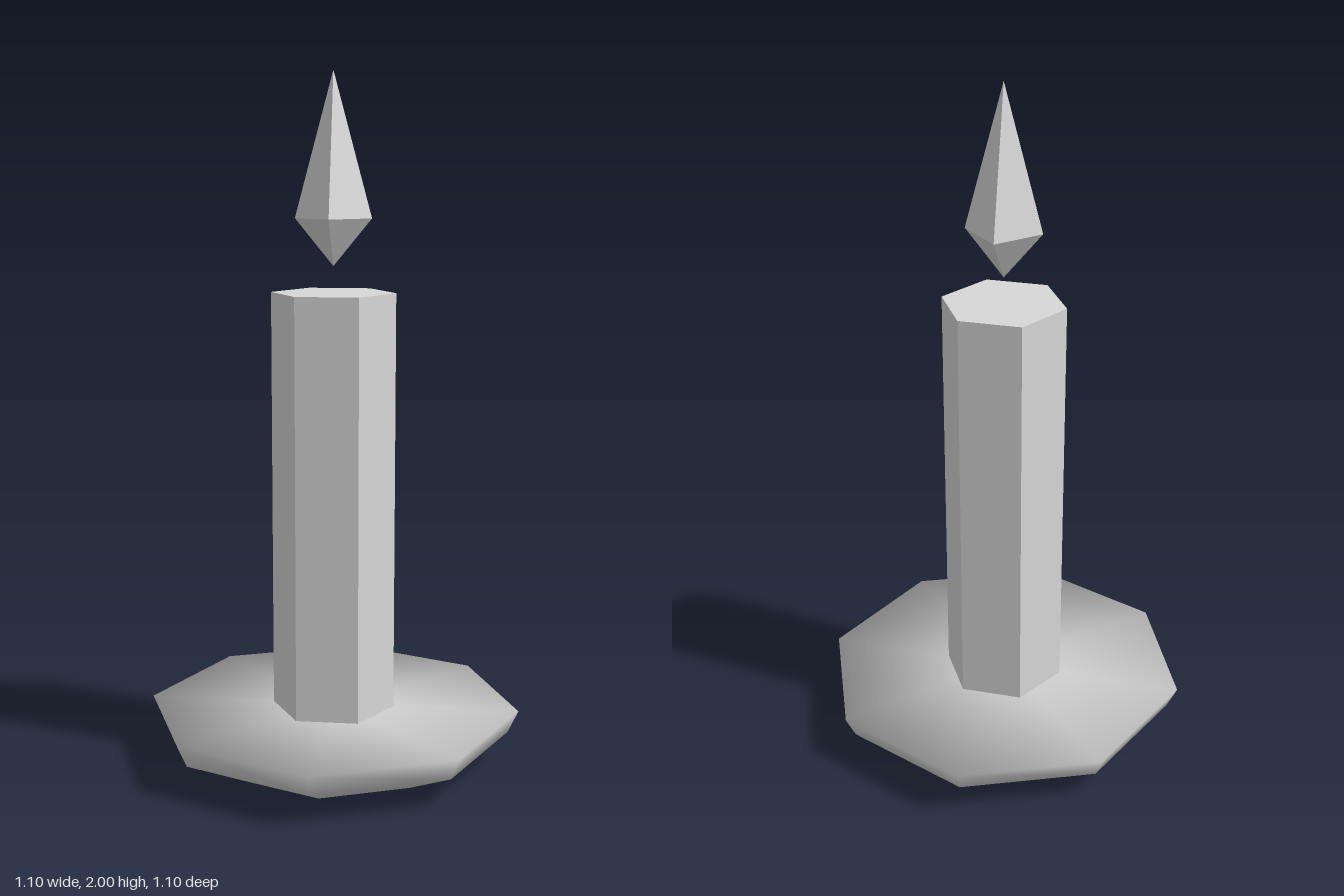
import * as THREE from 'three';

const wax = new THREE.MeshStandardMaterial({ color: 0xd8d8d8 });
wax.name = 'pale grey';

function addPart(parent, name, geometry) {
  const mesh = new THREE.Mesh(geometry, wax);
  mesh.name = name;
  parent.add(mesh);
  return mesh;
}

// Closed surface of revolution from [radius, height] pairs, bottom to top
function turned(profile, sides) {
  return new THREE.LatheGeometry(profile.map(([r, y]) => new THREE.Vector2(r, y)), sides);
}

// Remove shared normals so every facet is flat
function faceted(geometry) {
  const flat = geometry.toNonIndexed();
  flat.computeVertexNormals();
  return flat;
}

export function createModel() {
  const model = new THREE.Group();
  model.name = 'candle';

  // Smooth eight-sided dish with a filled top; rim normals point straight outwards
  const rim = 0.55;
  const dish = turned([[0, 0], [0.345, 0], [0.52, 0.085], [rim, 0.15], [0, 0.15]], 8);
  const { position, normal } = dish.attributes;
  for (let i = 3; i < position.count; i += 5) {
    normal.setXYZ(i, position.getX(i) / rim, 0, position.getZ(i) / rim);
  }
  addPart(model, 'dish', dish);

  // Six-sided candle stick with corners on the x axis
  const stick = new THREE.CylinderGeometry(0.18, 0.18, 1.23, 6, 1, false, Math.PI / 2);
  addPart(model, 'candleStick', faceted(stick)).position.y = 0.15 + 1.23 / 2;

  // Four-sided flame floating above the stick
  addPart(model, 'flame', faceted(turned([[0, 1.455], [0.11, 1.59], [0, 2]], 4)));

  return model;
}
